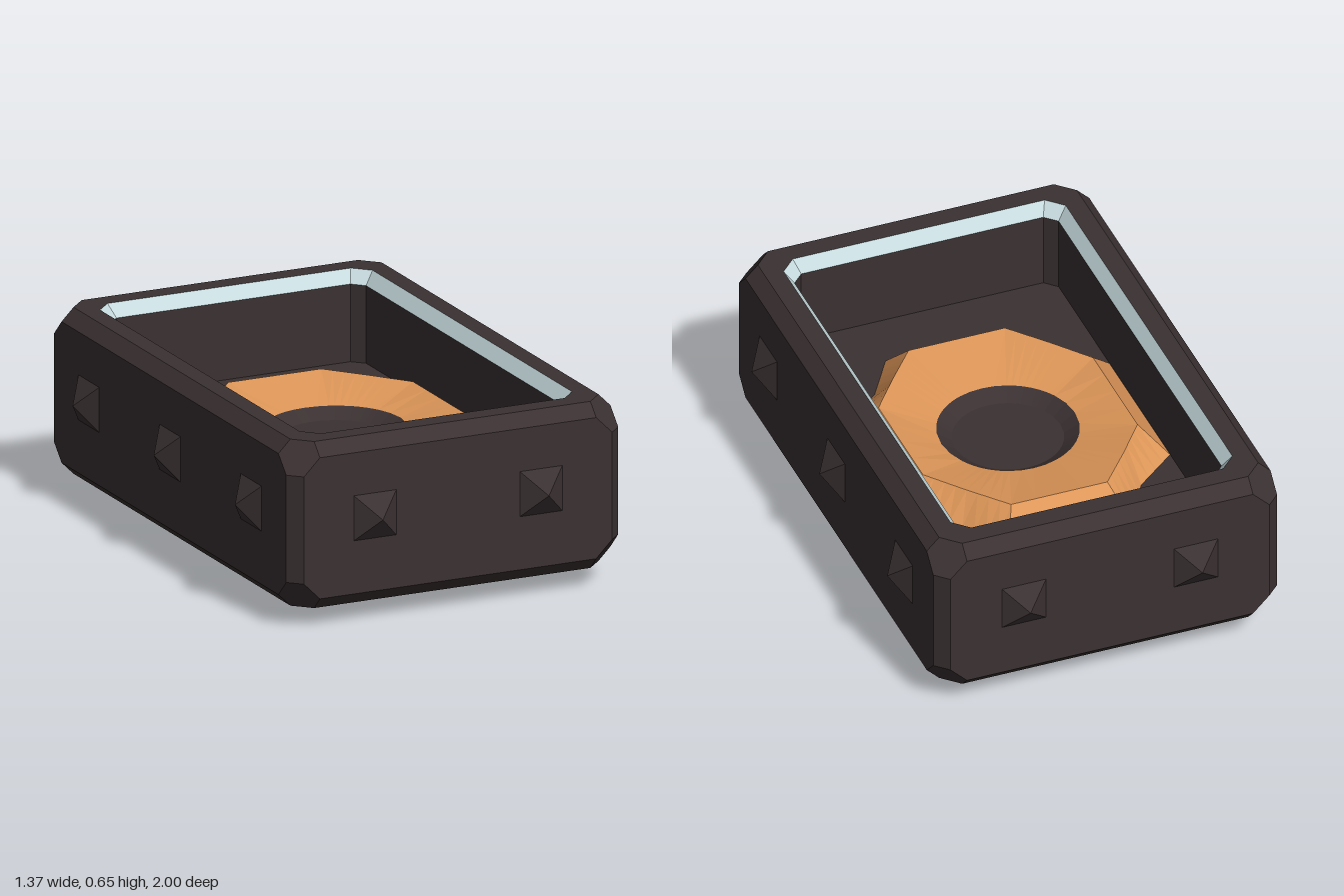
import * as THREE from 'three';

const mat = (name, color) => {
  const m = new THREE.MeshStandardMaterial({ color });
  m.name = name;
  return m;
};

// Skin a list of closed loops; moving up the outside gives outward faces
function loft(loops) {
  const pos = [];
  for (let i = 0; i < loops.length - 1; i++) {
    const lo = loops[i], hi = loops[i + 1], n = lo.length;
    for (let k = 0; k < n; k++) {
      const j = (k + 1) % n;
      for (const p of [lo[k], hi[k], lo[j], lo[j], hi[k], hi[j]]) pos.push(...p);
    }
  }
  const g = new THREE.BufferGeometry();
  g.setAttribute('position', new THREE.Float32BufferAttribute(pos, 3));
  g.computeVertexNormals();
  return g;
}

// Rectangle with clipped corners at height y
const clipped = (hx, hz, c, y) => [
  [hx, y, -hz + c], [hx, y, hz - c], [hx - c, y, hz], [-hx + c, y, hz],
  [-hx, y, hz - c], [-hx, y, -hz + c], [-hx + c, y, -hz], [hx - c, y, -hz],
];

// Eight-sided outline with a slightly adjustable diagonal, subdivided
function octagon([ax, az], [mx, mz], [bx, bz], y, sub = 4) {
  const c = [
    [ax, -az], [ax, az], [mx, mz], [bx, bz], [-bx, bz], [-mx, mz],
    [-ax, az], [-ax, -az], [-mx, -mz], [-bx, -bz], [bx, -bz], [mx, -mz],
  ];
  const out = [];
  c.forEach((p, i) => {
    const q = c[(i + 1) % c.length];
    for (let s = 0; s < sub; s++) {
      const t = s / sub;
      out.push([p[0] + (q[0] - p[0]) * t, y, p[1] + (q[1] - p[1]) * t]);
    }
  });
  return out;
}

// Project a loop onto a circle
const toCircle = (loop, r, y) => loop.map(([x, , z]) => {
  const l = Math.hypot(x, z);
  return [x / l * r, y, z / l * r];
});

export function createModel() {
  const model = new THREE.Group();
  const dark = mat('dark brown', 0x3b3132);
  const orange = mat('orange', 0xdd9658);
  const pale = mat('pale blue', 0xc8dce0);
  const add = (name, geo, m, parent = model) => {
    const mesh = new THREE.Mesh(geo, m);
    mesh.name = name;
    parent.add(mesh);
    return mesh;
  };

  // Chamfered outer shell and flat rim
  add('shell', loft([
    clipped(0, 0, 0, 0.065),
    clipped(0.58, 0.895, 0.06, 0.065),
    clipped(0.625, 0.94, 0.105, 0.11),
    clipped(0.625, 0.94, 0.045, 0.17),
    clipped(0.625, 0.94, 0.045, 0.55),
    clipped(0.625, 0.94, 0.105, 0.61),
    clipped(0.58, 0.895, 0.06, 0.655),
    clipped(0.513, 0.823, 0.055, 0.655),
  ]), dark);

  // Pale sloping trim inside the rim
  add('rimTrim', loft([
    clipped(0.513, 0.823, 0.055, 0.655),
    clipped(0.48, 0.79, 0.04, 0.61),
  ]), pale);

  // Inner walls and floor
  add('cavity', loft([
    clipped(0.48, 0.79, 0.04, 0.61),
    clipped(0.48, 0.79, 0.04, 0.335),
    clipped(0, 0, 0, 0.335),
  ]), dark);

  // Raised eight-sided base sloping in to a round hole
  const rim = octagon([0.39, 0.205], [0.285, 0.34], [0.175, 0.472], 0.435);
  add('raisedBase', loft([
    octagon([0.479, 0.28], [0.325, 0.405], [0.22, 0.57], 0.336),
    rim,
    toCircle(rim, 0.243, 0.385),
  ]), orange);

  // Dark dish in the hole
  add('dish', loft([
    toCircle(rim, 0.243, 0.385),
    toCircle(rim, 0.19, 0.35),
    toCircle(rim, 0, 0.35),
  ]), dark);

  // Pyramid studs on the four sides and the underside
  const studs = new THREE.Group();
  studs.name = 'studs';
  model.add(studs);
  const half = 0.0825, height = 0.063;
  const studGeo = new THREE.ConeGeometry(half * Math.SQRT2, height, 4, 1, true)
    .toNonIndexed();
  studGeo.rotateY(Math.PI / 4).translate(0, height / 2, 0);
  studGeo.computeVertexNormals();
  const up = new THREE.Vector3(0, 1, 0);
  const stud = (name, x, y, z, dir) => {
    const s = add(name, studGeo, dark, studs);
    s.position.set(x, y, z);
    s.quaternion.setFromUnitVectors(up, new THREE.Vector3(...dir));
  };
  for (const s of [-1, 1]) {
    for (const x of [-0.3125, 0.3125]) {
      stud(s > 0 ? 'frontStud' : 'backStud', x, 0.378, s * 0.938, [0, 0, s]);
    }
    for (const z of [-0.625, 0, 0.625]) {
      stud(s > 0 ? 'leftStud' : 'rightStud', s * 0.623, 0.378, z, [s, 0, 0]);
      stud('bottomStud', s * 0.3125, height, z, [0, -1, 0]);
    }
  }
  // Seat the underside studs against the shell
  studs.children.filter((c) => c.name === 'bottomStud').forEach((c) => {
    c.rotation.set(Math.PI, 0, 0);
    c.scale.y = 0.066 / height;
    c.position.y = 0.066;
  });
  return model;
}
